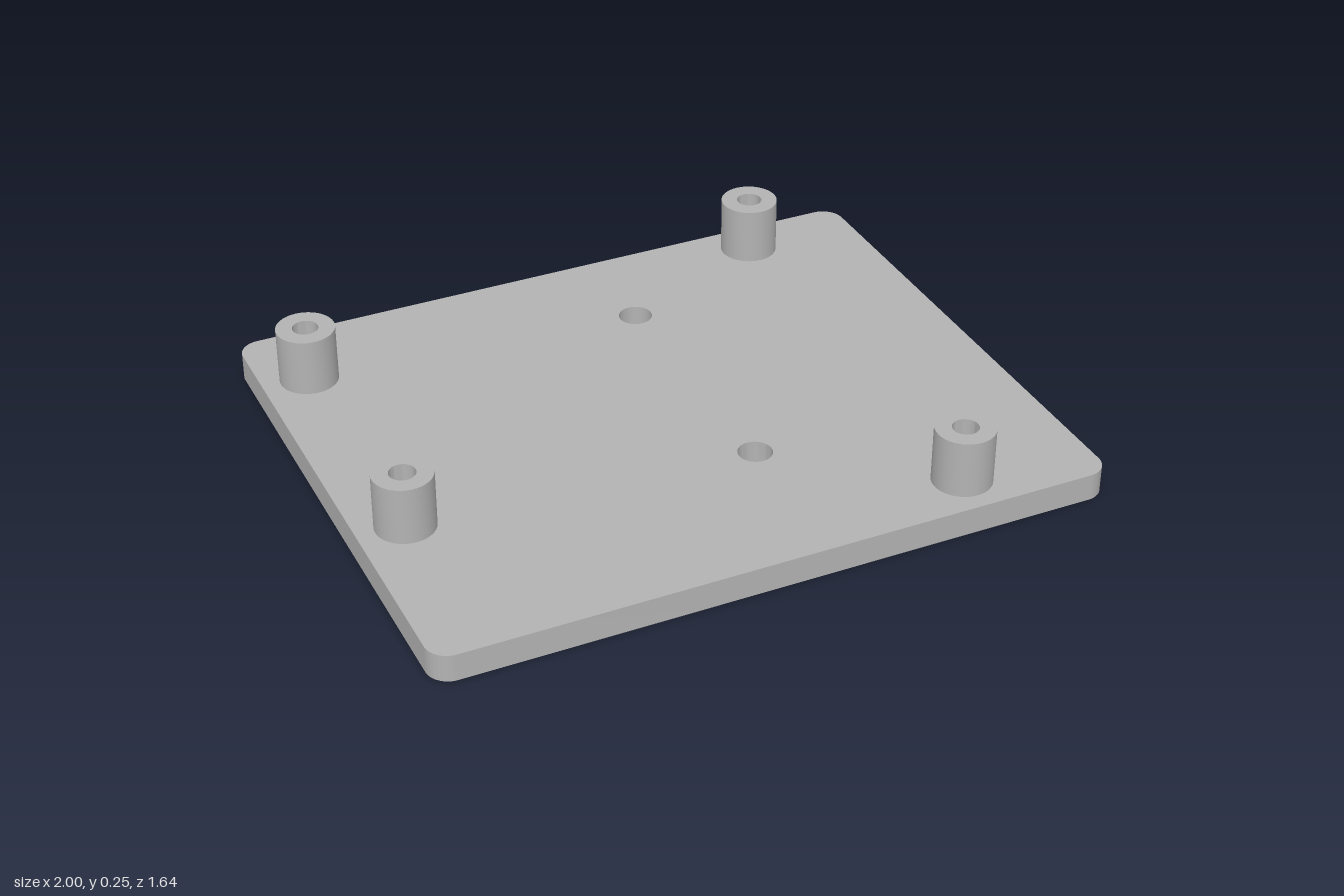
import * as THREE from 'three';
import { toCreasedNormals } from 'three/addons/utils/BufferGeometryUtils.js';

const HALF_X = 1, HALF_Z = 0.82, CORNER = 0.065;
const PLATE_TOP = 0.082, POST_TOP = 0.254;
const POST_RADIUS = 0.086, BORE_RADIUS = 0.038, HOLE_RADIUS = 0.05;

// Positions as [x, z]
const POSTS = [[-0.86, -0.56], [0.64, -0.705], [-0.86, 0.245], [0.603, 0.685]];
const HOLES = [[0.147, -0.48], [0.147, 0.327]];

// Rounded plate outline with through holes; shape y becomes -z
function plateGeometry() {
  const shape = new THREE.Shape();
  const x = HALF_X - CORNER, y = HALF_Z - CORNER;
  shape.absarc(x, y, CORNER, 0, Math.PI / 2);
  shape.absarc(-x, y, CORNER, Math.PI / 2, Math.PI);
  shape.absarc(-x, -y, CORNER, Math.PI, Math.PI * 1.5);
  shape.absarc(x, -y, CORNER, Math.PI * 1.5, Math.PI * 2);
  shape.closePath();
  for (const [hx, hz] of HOLES) {
    shape.holes.push(new THREE.Path().absarc(hx, -hz, HOLE_RADIUS, 0, Math.PI * 2, true));
  }
  const geometry = new THREE.ExtrudeGeometry(shape, {
    depth: PLATE_TOP, bevelEnabled: false, curveSegments: 20,
  });
  geometry.rotateX(-Math.PI / 2);
  return toCreasedNormals(geometry, Math.PI / 6);
}

// Hollow standoff: outer wall, top ring, bore down to the plate
function postGeometry() {
  const profile = [
    [POST_RADIUS, PLATE_TOP], [POST_RADIUS, POST_TOP],
    [BORE_RADIUS, POST_TOP], [BORE_RADIUS, PLATE_TOP],
  ].map(([r, y]) => new THREE.Vector2(r, y));
  return toCreasedNormals(new THREE.LatheGeometry(profile, 48), Math.PI / 6);
}

export function createModel() {
  const model = new THREE.Group();
  model.name = 'mountingPlate';
  const grey = new THREE.MeshStandardMaterial({ color: 0xb3b3b3 });
  grey.name = 'grey';

  const plate = new THREE.Mesh(plateGeometry(), grey);
  plate.name = 'basePlate';
  model.add(plate);

  const postShape = postGeometry();
  POSTS.forEach(([x, z], i) => {
    const post = new THREE.Mesh(postShape, grey);
    post.name = `standoff${i + 1}`;
    post.position.set(x, 0, z);
    model.add(post);
  });
  return model;
}
